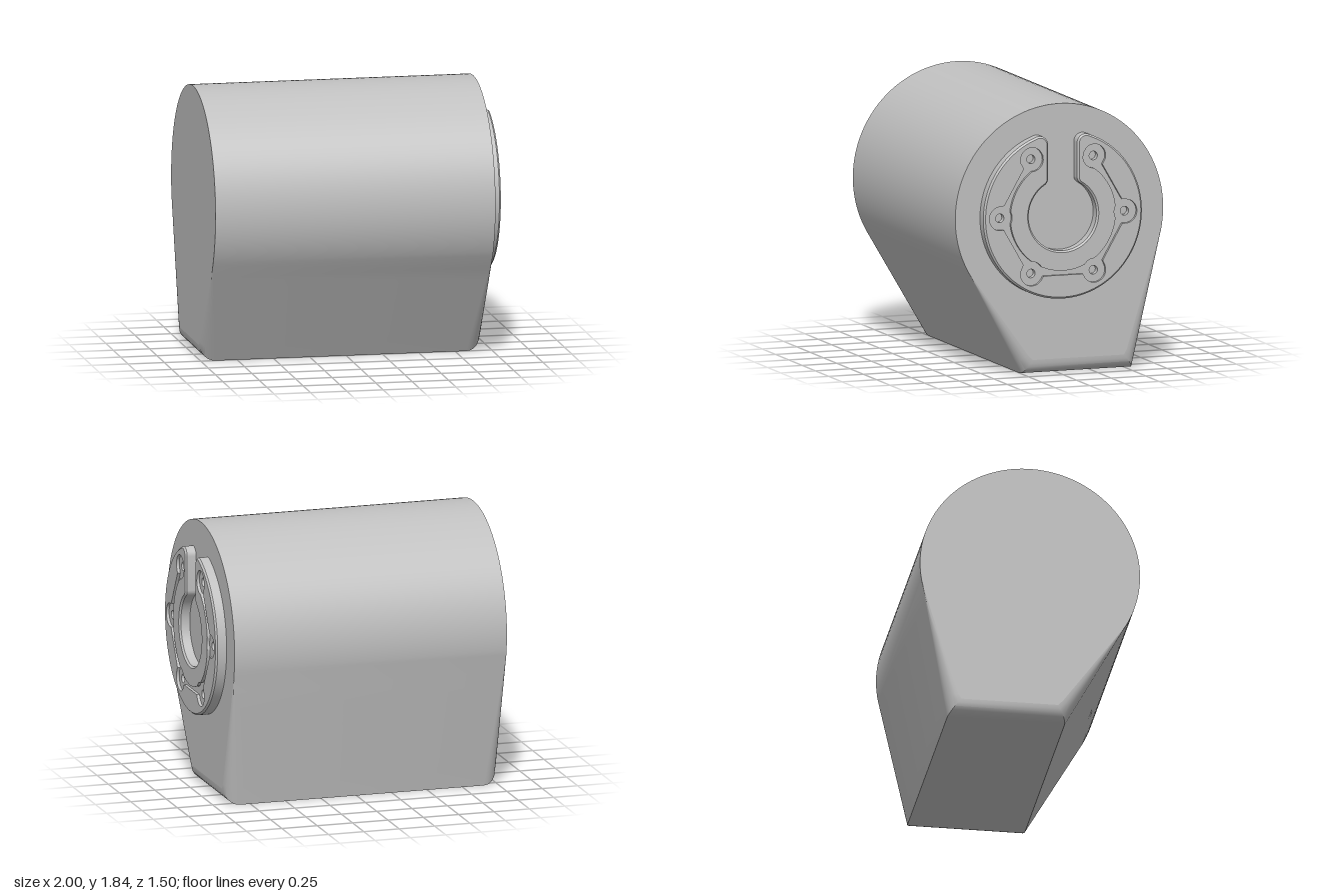
import * as THREE from 'three';
import { toCreasedNormals } from 'three/addons/utils/BufferGeometryUtils.js';

// Local frame: u across, v up, w along the housing axis (turned onto +x at the end)
const CY = 1.09, BACK = -1, FACE = 0.925, TOP = 1, FLOOR = 0.98;
const V2 = (x, y) => new THREE.Vector2(x, y);
const rad = THREE.MathUtils.degToRad;

function arc(cx, cy, r, a0, a1, n) {
  return Array.from({ length: n + 1 }, (_, i) => {
    const a = a0 + (a1 - a0) * i / n;
    return V2(cx + r * Math.cos(a), cy + r * Math.sin(a));
  });
}
const at = (pts, w) => pts.map(p => new THREE.Vector3(p.x, p.y, w));

// Closed skin through rings of equal point count
function loft(rings) {
  const pos = [], t = new THREE.Triangle();
  const add = (a, b, c) => {
    if (t.set(a, b, c).getArea() > 1e-9) pos.push(...a, ...b, ...c);
  };
  for (let k = 0; k < rings.length - 1; k++) {
    const r0 = rings[k], r1 = rings[k + 1], n = r0.length;
    for (let i = 0; i < n; i++) {
      const j = (i + 1) % n;
      add(r0[i], r0[j], r1[j]);
      add(r0[i], r1[j], r1[i]);
    }
  }
  const g = new THREE.BufferGeometry();
  g.setAttribute('position', new THREE.Float32BufferAttribute(pos, 3));
  return toCreasedNormals(g, 0.6);
}

// Flat face with optional holes
function face(pts, w, holes = []) {
  const s = new THREE.Shape(pts);
  s.holes = holes.map(h => new THREE.Path(h));
  return new THREE.ShapeGeometry(s).translate(0, 0, w);
}

// Housing outline: round top, tangent sides, flat foot; each point has a fillet radius
function housingRings() {
  const R = 0.75, F = 0.1, STEPS = 8;
  const pts = [];
  const tangent = (p, s) => {
    const d = Math.hypot(p.x, p.y - CY);
    return Math.atan2(p.y - CY, p.x) + s * Math.acos(R / d);
  };
  const side = (p, a) => {
    const out = [];
    const end = V2(R * Math.cos(a), CY + R * Math.sin(a));
    const n = V2(-Math.cos(a), -Math.sin(a));
    for (let k = 0; k < STEPS; k++) {
      const m = k ? n.clone() : V2(n.x, n.y + 1).divideScalar(1 + n.y);
      out.push({ p: p.clone().lerp(end, k / STEPS), n: m, r: F * (1 - k / STEPS) });
    }
    return out;
  };
  const right = V2(0.55, 0), left = V2(-0.25, 0);
  const aR = tangent(right, 1), aL = tangent(left, -1);
  pts.push(...side(right, aR));
  for (const p of arc(0, CY, R, aR, aL + 2 * Math.PI, 80)) pts.push({ p, n: V2(0, 0), r: 0 });
  pts.push(...side(left, aL).reverse());

  const ring = (w, dir, a) => pts.map(({ p, n, r }) => {
    const inset = r * (1 - Math.cos(a));
    return new THREE.Vector3(p.x + n.x * inset, p.y + n.y * inset, w + dir * r * (1 - Math.sin(a)));
  });
  const rings = [], N = 6;
  for (let k = N; k >= 0; k--) rings.push(ring(BACK, 1, k / N * Math.PI / 2));
  for (let k = 0; k <= N; k++) rings.push(ring(FACE, -1, k / N * Math.PI / 2));
  return rings;
}

// Slotted ring outline, shrunk by i
function flangeOutline(i) {
  const R = 0.572, r = 0.245, h = 0.105, f = 0.06, g = 0.05;
  const yo = Math.sqrt((R - f) ** 2 - (h + f) ** 2), yi = Math.sqrt((r + g) ** 2 - (h + g) ** 2);
  const aO = Math.atan2(yo, h + f), aI = Math.atan2(yi, h + g);
  const half = [
    ...arc(0, CY, R - i, -Math.PI / 2, aO, 48),
    ...arc(h + f, CY + yo, f - i, aO, Math.PI, 10).slice(1),
    ...arc(h + g, CY + yi, g - i, Math.PI, Math.PI + aI, 8),
    ...arc(0, CY, r + i, aI, -Math.PI / 2, 36).slice(1),
  ];
  const mirrored = half.slice(1, -1).reverse().map(p => V2(-p.x, p.y));
  return half.concat(mirrored);
}

// Narrow channel joining six round lobes
const LOBE_R = 0.45, LOBE = 0.082;
function channelOutline() {
  const e = Math.asin(LOBE / LOBE_R) * 180 / Math.PI;
  const outer = [], inner = [], N = 320;
  for (let k = 0; k <= N; k++) {
    const deg = -240 - e + (300 + 2 * e) * k / N, a = rad(deg);
    const d = rad(deg - 60 * Math.round(deg / 60));
    const c = rad(deg - 30 - 60 * Math.round((deg - 30) / 60));
    const mid = LOBE_R * Math.cos(d);
    const q = LOBE ** 2 - (LOBE_R * Math.sin(d)) ** 2, s = Math.sqrt(Math.max(q, 0));
    const end = deg < -240 || deg > 60;
    let ro = 0.41 / Math.cos(c), ri = 0.38;
    if (end) { ro = mid + s; ri = mid - s; }
    else if (q > 0) { ro = Math.max(ro, mid + s); ri = Math.min(ri, mid - s); }
    outer.push(V2(ro * Math.cos(a), CY + ro * Math.sin(a)));
    if (k > 0 && k < N) inner.push(V2(ri * Math.cos(a), CY + ri * Math.sin(a)));
  }
  return outer.concat(inner.reverse());
}

export function createModel() {
  const grey = new THREE.MeshStandardMaterial({ color: 0xc0c0c0 });
  grey.name = 'grey';
  const model = new THREE.Group();
  model.name = 'motorHousing';
  const add = (name, geometry) => {
    const m = new THREE.Mesh(geometry, grey);
    m.name = name;
    model.add(m);
  };

  // Housing
  const rings = housingRings();
  const last = rings[rings.length - 1];
  add('housingShell', loft(rings));
  add('housingFrontFace', face(last.map(p => V2(p.x, p.y)), FACE));
  add('housingBackFace', face(rings[0].map(p => V2(-p.x, p.y)), 0).rotateY(Math.PI).translate(0, 0, BACK));

  // Slotted flange with a chamfered rim
  const chamfer = 0.012;
  const rim = flangeOutline(0), rimTop = flangeOutline(chamfer);
  const channel = channelOutline();
  add('flangeWall', loft([at(rim, FACE), at(rim, TOP - chamfer), at(rimTop, TOP)]));
  add('flangeFace', face(rimTop, TOP, [channel]));

  // Sunken channel and screw holes
  const holes = Array.from({ length: 6 }, (_, k) => {
    const a = k * Math.PI / 3;
    return arc(LOBE_R * Math.cos(a), CY + LOBE_R * Math.sin(a), 0.03, 0, 2 * Math.PI, 20).slice(0, -1);
  });
  const cw = pts => pts.slice().reverse();
  add('channelWall', loft([at(cw(channel), FLOOR), at(cw(channel), TOP)]));
  add('channelFloor', face(channel, FLOOR, holes));
  holes.forEach(h => {
    add('screwHoleWall', loft([at(cw(h), FACE + 0.015), at(cw(h), FLOOR)]));
    add('screwHoleBottom', face(h, FACE + 0.015));
  });

  model.rotation.y = Math.PI / 2;
  const root = new THREE.Group();
  root.name = 'model';
  root.add(model);
  return root;
}
